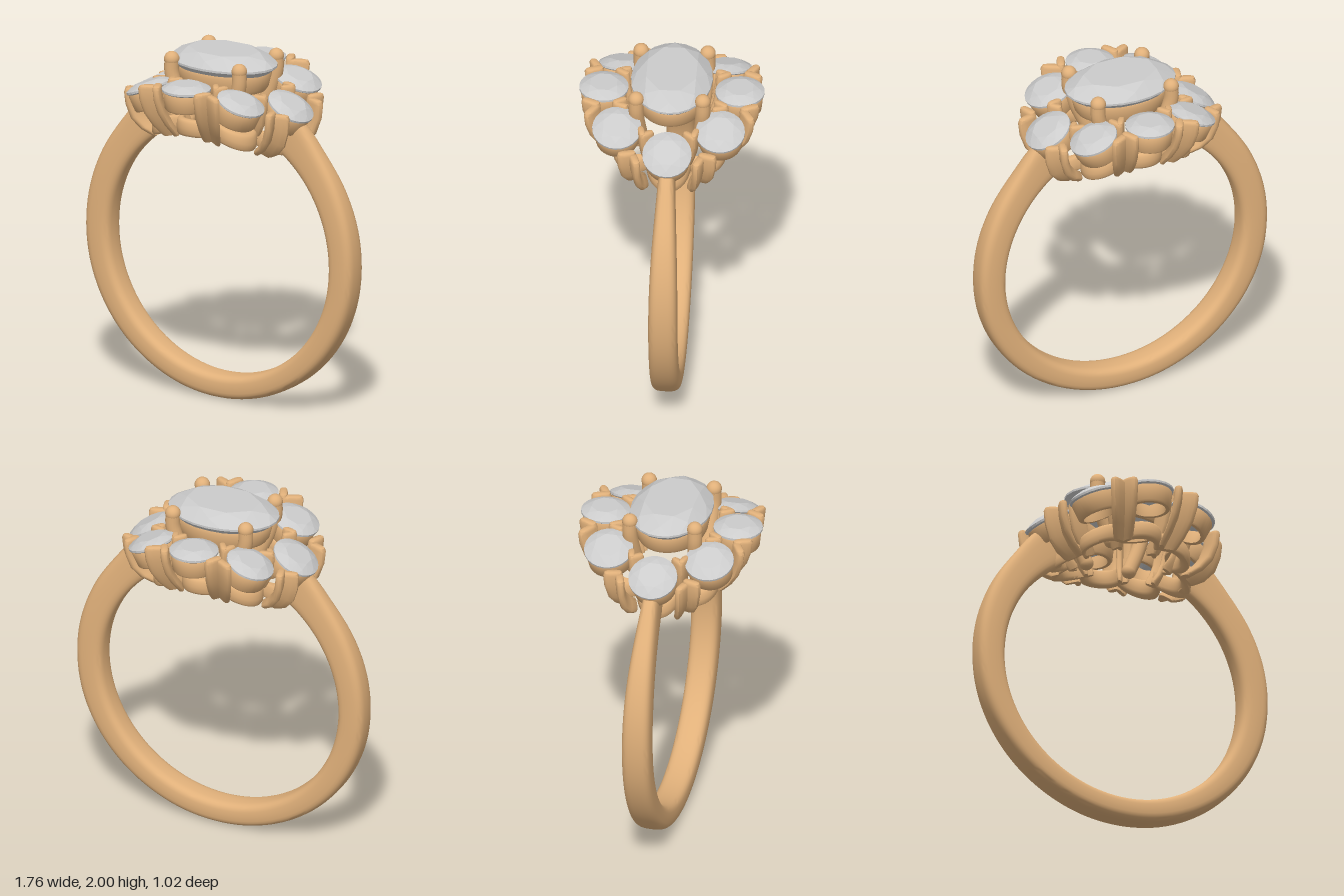
import * as THREE from 'three';
import { toCreasedNormals, mergeVertices } from 'three/addons/utils/BufferGeometryUtils.js';
import { ConvexGeometry } from 'three/addons/geometries/ConvexGeometry.js';

const gold = new THREE.MeshStandardMaterial({ color: 0xe0b07a });
const gemMat = new THREE.MeshStandardMaterial({ color: 0xcccccc });
const V = (x, y, z) => new THREE.Vector3(x, y, z);
const CY = 0.86, RI = 0.72;                       // finger hole centre and radius
const crownY = x => 1.86 - 0.63 * x * x;          // height of the domed cluster
const holeY = x => CY + Math.sqrt(RI * RI - x * x);

// Skin a list of equal-length point loops; cap the ends unless the loft closes on itself
function loft(loops, closed = false, crease = 0.7) {
  const n = loops[0].length, m = loops.length, pos = [], idx = [];
  loops.forEach(l => l.forEach(p => pos.push(p.x, p.y, p.z)));
  for (let i = 0; i < (closed ? m : m - 1); i++)
    for (let j = 0; j < n; j++) {
      const k = (j + 1) % n, a = i * n, b = ((i + 1) % m) * n;
      idx.push(a + j, a + k, b + k, a + j, b + k, b + j);
    }
  if (!closed) for (const e of [0, m - 1]) {
    const c = loops[e].reduce((s, p) => s.add(p), V(0, 0, 0)).divideScalar(n);
    const ci = pos.length / 3;
    pos.push(c.x, c.y, c.z);
    for (let j = 0; j < n; j++) {
      const a = e * n + j, b = e * n + (j + 1) % n;
      idx.push(...(e ? [ci, a, b] : [ci, b, a]));
    }
  }
  // make the faces point outward
  const P = i => V(pos[3 * i], pos[3 * i + 1], pos[3 * i + 2]);
  let vol = 0;
  for (let i = 0; i < idx.length; i += 3) vol += P(idx[i]).dot(P(idx[i + 1]).cross(P(idx[i + 2])));
  if (vol < 0) idx.reverse();
  const g = new THREE.BufferGeometry();
  g.setAttribute('position', new THREE.Float32BufferAttribute(pos, 3));
  g.setIndex(idx);
  return toCreasedNormals(g, crease);
}

// Rounded rectangle as a superellipse: n points with half sizes a, b
function roundRect(n, a, b, e) {
  const f = v => Math.sign(v) * Math.abs(v) ** (2 / e);
  return Array.from({ length: n }, (_, i) => {
    const t = (i / n) * Math.PI * 2;
    return [a * f(Math.cos(t)), b * f(Math.sin(t))];
  });
}

function add(parent, name, geo, mat = gold) {
  const mesh = new THREE.Mesh(geo, mat);
  mesh.name = name;
  parent.add(mesh);
  return mesh;
}

// Faceted stone with its girdle at y = 0
function gem(rx, rz, crown, depth, table) {
  const pts = [V(0, -depth, 0)];
  const ring = (n, r, y, off) => {
    for (let i = 0; i < n; i++) {
      const t = ((i + off) / n) * Math.PI * 2;
      pts.push(V(Math.cos(t) * r * rx, y, Math.sin(t) * r * rz));
    }
  };
  ring(8, table, crown, 0.5);
  ring(8, (table + 1) / 2 + 0.03, crown * 0.6, 0);
  ring(24, 1, 0.006, 0);
  ring(24, 1, -0.006, 0);
  ring(8, 0.6, -depth * 0.48, 0.5);
  return new ConvexGeometry(pts);
}

// Shank: thickness and width change with the angle from the bottom, every 15 degrees
function shank() {
  const outer = [0.855, 0.857, 0.86, 0.866, 0.872, 0.877, 0.88, 0.887, 0.897, 0.914, 0.962];
  const width = [0.08, 0.08, 0.08, 0.08, 0.08, 0.08, 0.08, 0.077, 0.069, 0.057, 0.045];
  const curve = new THREE.SplineCurve(outer.map((r, i) => new THREE.Vector2(r, width[i])));
  const loops = [];
  for (let i = -60; i <= 60; i++) {
    const a = (i / 60) * 150 * Math.PI / 180, p = curve.getPoint(Math.abs(i) / 60);
    loops.push(roundRect(28, (p.x - RI) / 2, p.y, 3.3).map(([u, w]) => {
      const r = (p.x + RI) / 2 + u;
      return V(Math.sin(a) * r, CY - Math.cos(a) * r, w);
    }));
  }
  return loft(loops, false, 1);
}

// Scalloped rail: outline of overlapping circles below the stones, bent over the finger hole
function galleryRail(stones) {
  const loops = [], N = 144, R = 0.12;
  for (let i = 0; i < N; i++) {
    const t = (i / N) * Math.PI * 2, c = Math.cos(t), s = Math.sin(t);
    let r = 0;
    for (const [x, z] of stones) {
      const d = 0.68 * (x * c + z * s), q = 0.68 * (x * s - z * c);
      if (Math.abs(q) < R) r = Math.max(r, d + Math.sqrt(R * R - q * q));
    }
    loops.push(roundRect(12, 0.03, 0.05, 3).map(([u, h]) => {
      const x = (r - 0.03 + u) * c;
      return V(x, holeY(x) + 0.05 + h, (r - 0.03 + u) * s);
    }));
  }
  return loft(loops, true, 0.9);
}

// One arm of a forked claw, from apex a to tip b in plan, curving in toward the rail
function clawArm(a, b, half, thick) {
  const dx = b[0] - a[0], dz = b[1] - a[1], L = Math.hypot(dx, dz);
  const mx = (a[0] + b[0]) / 2, mz = (a[1] + b[1]) / 2;
  const steps = [[0, 0.71, 0.8], [0.06, 0.73, 1], [0.25, 0.83, 1], [0.5, 0.93, 1],
    [0.75, 0.985, 1], [0.94, 1, 1], [0.985, 1, 0.88], [1, 1, 0.6]];
  return loft(steps.map(([t, s, k]) => roundRect(14, (L / 2 + half) * k, thick * k, 3).map(([u, w]) => {
    const x = (mx + (dx * u - dz * w) / L) * s, z = (mz + (dz * u + dx * w) / L) * s;
    const low = holeY(x) - 0.01, high = crownY(mx) + 0.03;
    return V(x, low + (high - low) * t, z);
  })), false, 0.8);
}

export function createModel() {
  const ring = new THREE.Group();
  ring.name = 'clusterRing';
  add(ring, 'shank', shank());

  // Surrounding stones in their seats
  const stones = [[0, 0.375], [0, -0.375], [0.44, 0], [-0.44, 0]];
  for (const sx of [1, -1]) for (const sz of [1, -1]) stones.push([0.3 * sx, 0.285 * sz]);
  const roundGem = gem(0.136, 0.136, 0.034, 0.09, 0.58);
  const seatProfile = [[0.092, -0.115], [0.112, -0.115], [0.119, -0.105], [0.128, -0.02],
    [0.122, -0.008], [0.108, -0.008], [0.092, -0.03], [0.092, -0.115]];
  const seatGeo = toCreasedNormals(new THREE.LatheGeometry(
    seatProfile.map(p => new THREE.Vector2(...p)), 40), 0.7);
  for (const [x, z] of stones) {
    const setting = new THREE.Group();
    setting.name = 'haloSetting';
    setting.position.set(x, crownY(x), z);
    setting.rotation.z = -Math.atan(1.3 * x);
    add(setting, 'haloStone', roundGem, gemMat);
    add(setting, 'haloSeat', seatGeo);
    ring.add(setting);
  }
  add(ring, 'galleryRail', galleryRail(stones));

  // Forked claws between neighbouring stones, outside and inside the halo: apex, tip, tip
  const claws = [
    ['outerClaw', [0.165, 0.405], [0.135, 0.47], 0.02, 0.024],
    ['outerClaw', [0.165, 0.405], [0.245, 0.45], 0.02, 0.024],
    ['outerClaw', [0.445, 0.19], [0.52, 0.165], 0.02, 0.024],
    ['outerClaw', [0.445, 0.19], [0.465, 0.255], 0.02, 0.024],
    ['innerClaw', [0.15, 0.305], [0.115, 0.255], 0.015, 0.02],
    ['innerClaw', [0.15, 0.305], [0.175, 0.245], 0.015, 0.02],
    ['innerClaw', [0.36, 0.14], [0.325, 0.095], 0.015, 0.02],
    ['innerClaw', [0.36, 0.14], [0.3, 0.155], 0.015, 0.02],
  ];
  for (const sx of [1, -1]) for (const sz of [1, -1]) {
    for (const [name, a, b, half, thick] of claws)
      add(ring, name, clawArm([a[0] * sx, a[1] * sz], [b[0] * sx, b[1] * sz], half, thick));

    // Round-tipped prongs of the centre stone
    const path = new THREE.CatmullRomCurve3([V(0.13 * sx, 1.62, 0.16 * sz),
      V(0.19 * sx, 1.76, 0.175 * sz), V(0.222 * sx, 1.87, 0.184 * sz), V(0.223 * sx, 1.95, 0.184 * sz)]);
    add(ring, 'centreProng', new THREE.TubeGeometry(path, 16, 0.041, 16));
    add(ring, 'prongTip', new THREE.SphereGeometry(0.043, 20, 14)).position.copy(path.getPoint(1));
    add(ring, 'prongFoot', new THREE.SphereGeometry(0.041, 16, 12)).position.copy(path.getPoint(0));
  }

  // Centre stone and its oval collar
  add(ring, 'centreStone', gem(0.322, 0.225, 0.068, 0.235, 0.66), gemMat).position.y = 1.932;
  const collar = [[0.8, 1.79], [0.88, 1.79], [0.93, 1.81], [1, 1.885], [0.98, 1.9],
    [0.9, 1.9], [0.8, 1.85], [0.8, 1.79]].map(p => new THREE.Vector2(...p));
  const collarGeo = new THREE.LatheGeometry(collar, 64).scale(0.285, 1, 0.21);
  collarGeo.deleteAttribute('normal');
  collarGeo.deleteAttribute('uv');
  add(ring, 'centreCollar', toCreasedNormals(mergeVertices(collarGeo), 0.7));
  return ring;
}
